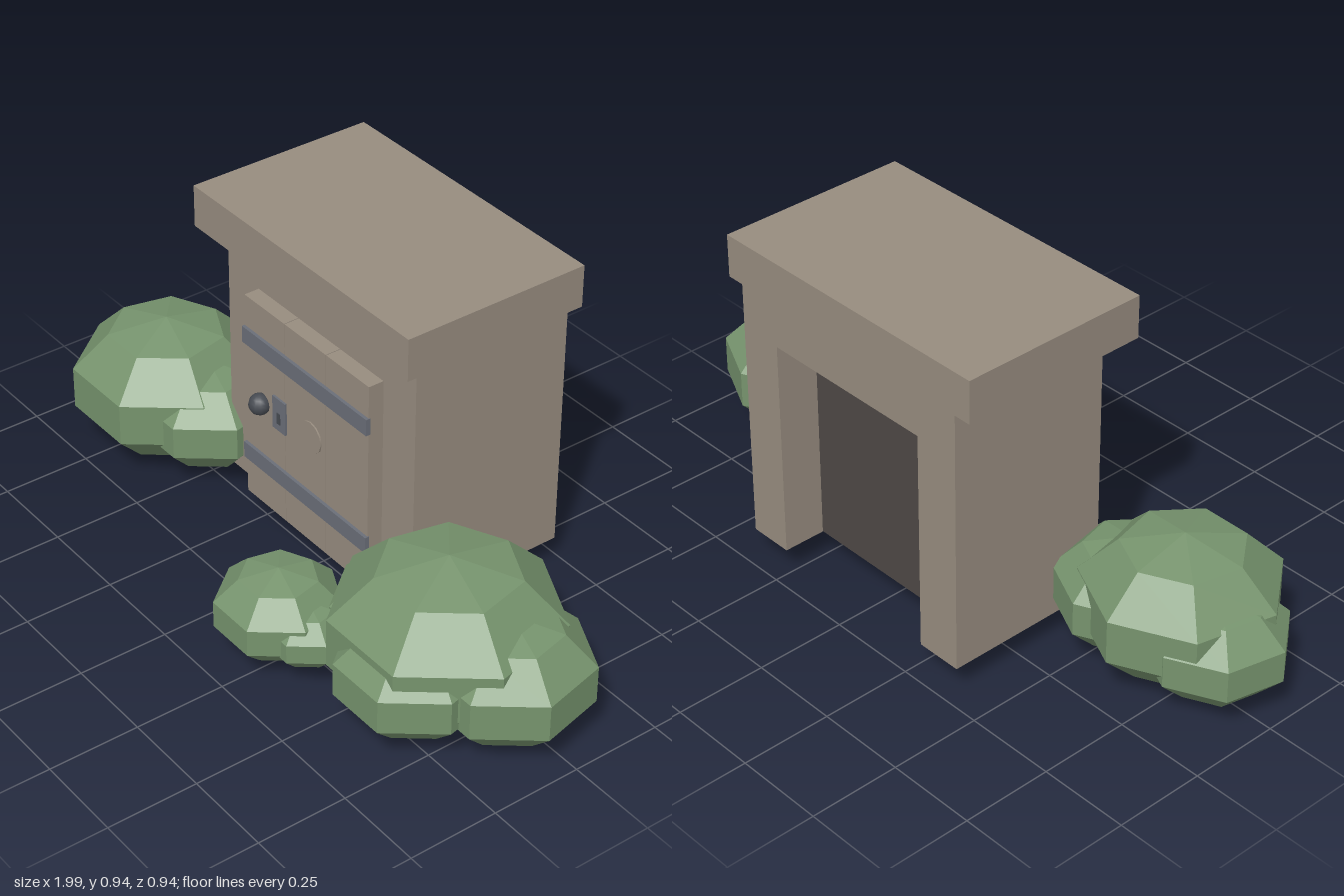
import * as THREE from 'three';

const material = (name, color, flatShading = false) => {
  const m = new THREE.MeshStandardMaterial({ color, flatShading });
  m.name = name;
  return m;
};

export function createModel() {
  const stone = material('warm stone', 0x978c7f);
  const shade = material('dark interior', 0x4e4845);
  const metal = material('blue grey metal', 0x6a6e78);
  const iron = material('dark iron', 0x474b52);
  const leaf = material('leaf green', 0x76936d, true);

  const model = new THREE.Group();
  model.name = 'gardenShed';

  const add = (parent, name, geometry, mat, x = 0, y = 0, z = 0) => {
    const mesh = new THREE.Mesh(geometry, mat);
    mesh.name = name;
    mesh.position.set(x, y, z);
    parent.add(mesh);
    return mesh;
  };
  // Box given by its lower and upper corners
  const box = (parent, name, mat, [x0, y0, z0], [x1, y1, z1]) =>
    add(parent, name, new THREE.BoxGeometry(x1 - x0, y1 - y0, z1 - z0), mat,
      (x0 + x1) / 2, (y0 + y1) / 2, (z0 + z1) / 2);

  // Walls: a portal with a doorway open to the ground
  const shed = new THREE.Group();
  shed.name = 'shed';
  model.add(shed);
  const portal = new THREE.Shape([
    [-0.405, 0.085], [-0.275, 0.085], [-0.275, 0.7], [0.24, 0.7],
    [0.24, 0.085], [0.365, 0.085], [0.365, 0.822], [-0.405, 0.822],
  ].map(([x, y]) => new THREE.Vector2(x, y)));
  add(shed, 'walls', new THREE.ExtrudeGeometry(portal, { depth: 0.47, bevelEnabled: false }),
    stone, 0, 0, -0.47);
  box(shed, 'interior', shade, [-0.275, 0.086, -0.35], [0.24, 0.7, -0.002]);
  box(shed, 'roof', stone, [-0.455, 0.822, -0.47], [0.415, 0.94, 0.067]);

  // Door: three planks with two straps
  const door = new THREE.Group();
  door.name = 'door';
  model.add(door);
  const seams = [-0.275, -0.105, 0.067, 0.24];
  for (let i = 0; i < 3; i++) {
    box(door, 'plank', stone, [seams[i] + 0.001, 0.088, -0.002], [seams[i + 1] - 0.001, 0.7, 0.044]);
  }
  for (const y of [0.2, 0.56]) {
    box(door, 'strap', metal, [-0.276, y, 0.04], [0.241, y + 0.048, 0.053]);
  }

  // Knob, lock plate and knot
  add(door, 'knob', new THREE.SphereGeometry(0.03, 12, 8), iron, -0.2, 0.41, 0.055);
  box(door, 'lockPlate', metal, [-0.152, 0.365, 0.04], [-0.098, 0.462, 0.05]);
  box(door, 'keyhole', iron, [-0.132, 0.387, 0.046], [-0.118, 0.42, 0.052]);
  const knot = new THREE.CylinderGeometry(0.045, 0.045, 0.006, 12).rotateX(Math.PI / 2);
  add(door, 'knot', knot, stone, 0.005, 0.42, 0.045);

  // Bushes: clusters of seven-sided flattened balls [x, y, z, radius, half height]
  const ball = new THREE.SphereGeometry(1, 7, 5).rotateY(-Math.PI / 2);
  const clusters = {
    rightBush: [
      [-0.685, 0.21, 0.013, 0.271, 0.195],
      [-0.815, 0.165, 0.0, 0.195, 0.142],
      [-0.54, 0.18, -0.02, 0.205, 0.15],
    ],
    leftBush: [
      [0.61, 0.222, 0.087, 0.312, 0.221],
      [0.78, 0.18, 0.036, 0.227, 0.166],
      [0.645, 0.18, 0.213, 0.21, 0.15],
      [0.46, 0.175, 0.09, 0.205, 0.15],
    ],
    smallBush: [
      [0.24, 0.16, 0.318, 0.172, 0.121],
      [0.145, 0.138, 0.3, 0.108, 0.08],
      [0.335, 0.142, 0.3, 0.118, 0.086],
    ],
  };
  for (const [name, clumps] of Object.entries(clusters)) {
    const bush = new THREE.Group();
    bush.name = name;
    model.add(bush);
    for (const [x, y, z, r, h] of clumps) {
      add(bush, 'leafClump', ball, leaf, x, y, z).scale.set(r, h, r);
    }
  }
  return model;
}
